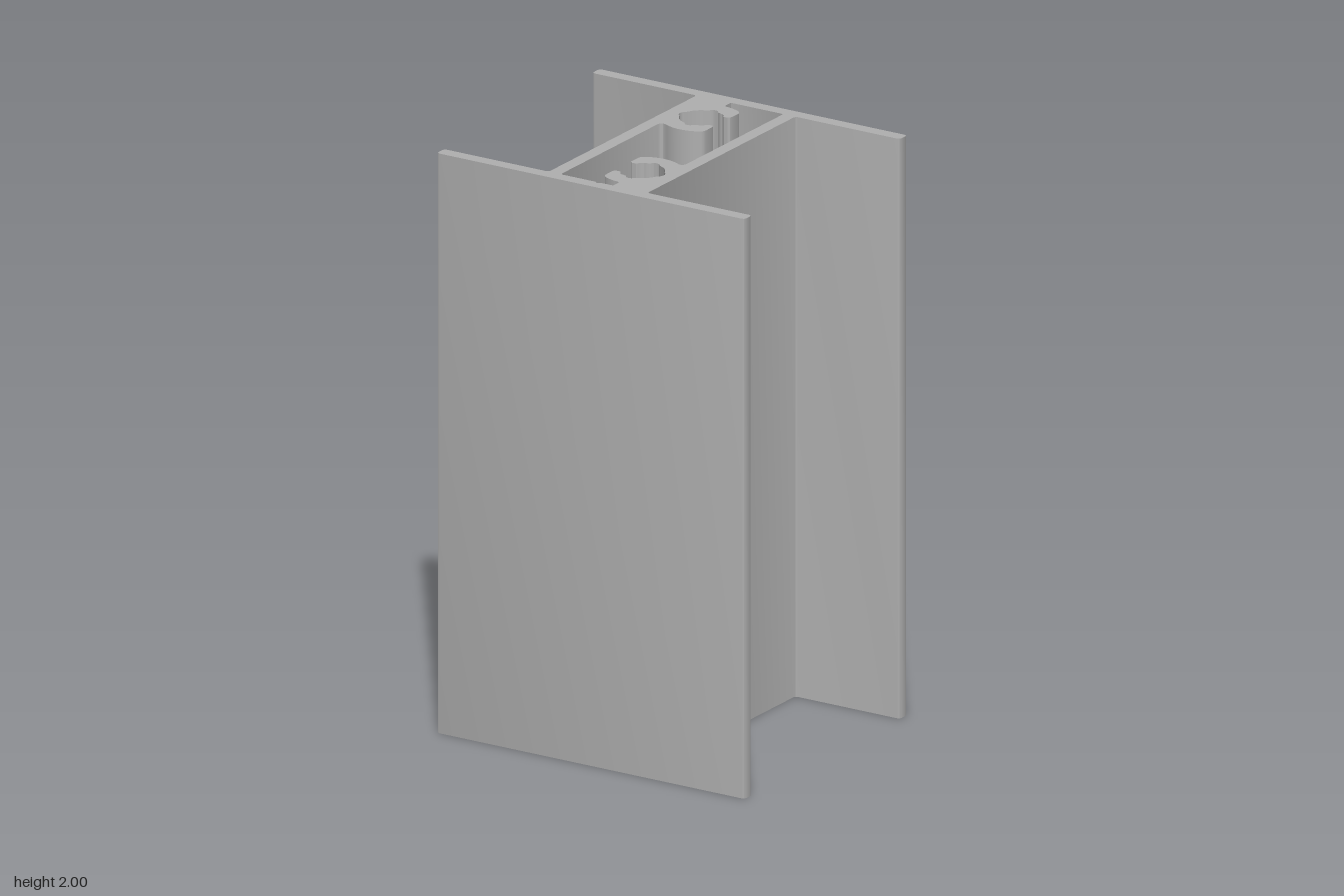
import * as THREE from 'three';
import { toCreasedNormals } from 'three/addons/utils/BufferGeometryUtils.js';

const HEIGHT = 2;
const mirror = (pts, sx, sz) => pts.map(([x, z]) => [x * sx, z * sz]);
const toVectors = (pts) => pts.map(([x, z]) => new THREE.Vector2(x, z));

// One quarter of the H outline: web fillet, flange, rounded flange end
function outerOutline() {
  const q = [
    [0.191, 0.432], [0.194, 0.44], [0.202, 0.443],
    [0.585, 0.443], [0.593, 0.446], [0.596, 0.454],
    [0.596, 0.477], [0.593, 0.485], [0.585, 0.488],
  ];
  return [
    ...q, ...mirror(q, -1, 1).reverse(),
    ...mirror(q, -1, -1), ...mirror(q, 1, -1).reverse(),
  ];
}

// Half of the inner chamber, running round one C-shaped screw port
function halfChamber() {
  const cx = -0.058, cz = -0.269, r = 0.134;
  const arc = (from, to, n) => Array.from({ length: n + 1 }, (_, i) => {
    const a = THREE.MathUtils.degToRad(from + (to - from) * i / n);
    return [r * Math.cos(a), r * Math.sin(a)];
  });
  // Lip end and keyed bore, upper half
  const lip = [
    [0.076, -0.106], [0.078, -0.099], [0.078, -0.059], [0.076, -0.051], [0.07, -0.046],
    [0.054, -0.046], [0.049, -0.051], [0.046, -0.059], [0.036, -0.067], [0.029, -0.067],
    [0.016, -0.072], [0.008, -0.083], [-0.002, -0.085], [-0.012, -0.083], [-0.022, -0.071],
    [-0.045, -0.06], [-0.061, -0.044], [-0.072, -0.024], [-0.082, -0.013], [-0.085, -0.004],
  ];
  const port = [
    ...arc(-86, -58, 6), ...lip,
    ...mirror(lip, 1, -1).reverse(), ...arc(58, 120, 12),
  ].map(([u, v]) => [u + cx, v + cz]);
  return [
    [0.145, -0.434], [0.143, -0.44], [0.137, -0.443],
    [-0.058, -0.443], [-0.058, -0.411], [-0.056, -0.405],
    ...port,
    [-0.134, -0.154], [-0.141, -0.15], [-0.145, -0.142],
  ];
}

export function createModel() {
  const aluminium = new THREE.MeshStandardMaterial({ color: 0xb0b0b0 });
  aluminium.name = 'aluminium grey';

  // The second half is the first turned by half a turn, plus a centring groove
  const half = halfChamber();
  const turned = mirror(half, -1, -1);
  turned.splice(3, 0, [-0.01, 0.443], [-0.005, 0.447], [0, 0.45], [0.005, 0.447], [0.01, 0.443]);

  const section = new THREE.Shape(toVectors(outerOutline()));
  section.holes.push(new THREE.Path(toVectors([...half, ...turned])));

  // Extrude the section and stand it upright
  const geometry = new THREE.ExtrudeGeometry(section, { depth: HEIGHT, bevelEnabled: false });
  geometry.rotateX(Math.PI / 2);
  geometry.translate(0, HEIGHT, 0);

  const profile = new THREE.Mesh(toCreasedNormals(geometry, 0.6), aluminium);
  profile.name = 'extrudedProfile';

  const group = new THREE.Group();
  group.name = 'mullionProfile';
  group.add(profile);
  return group;
}
